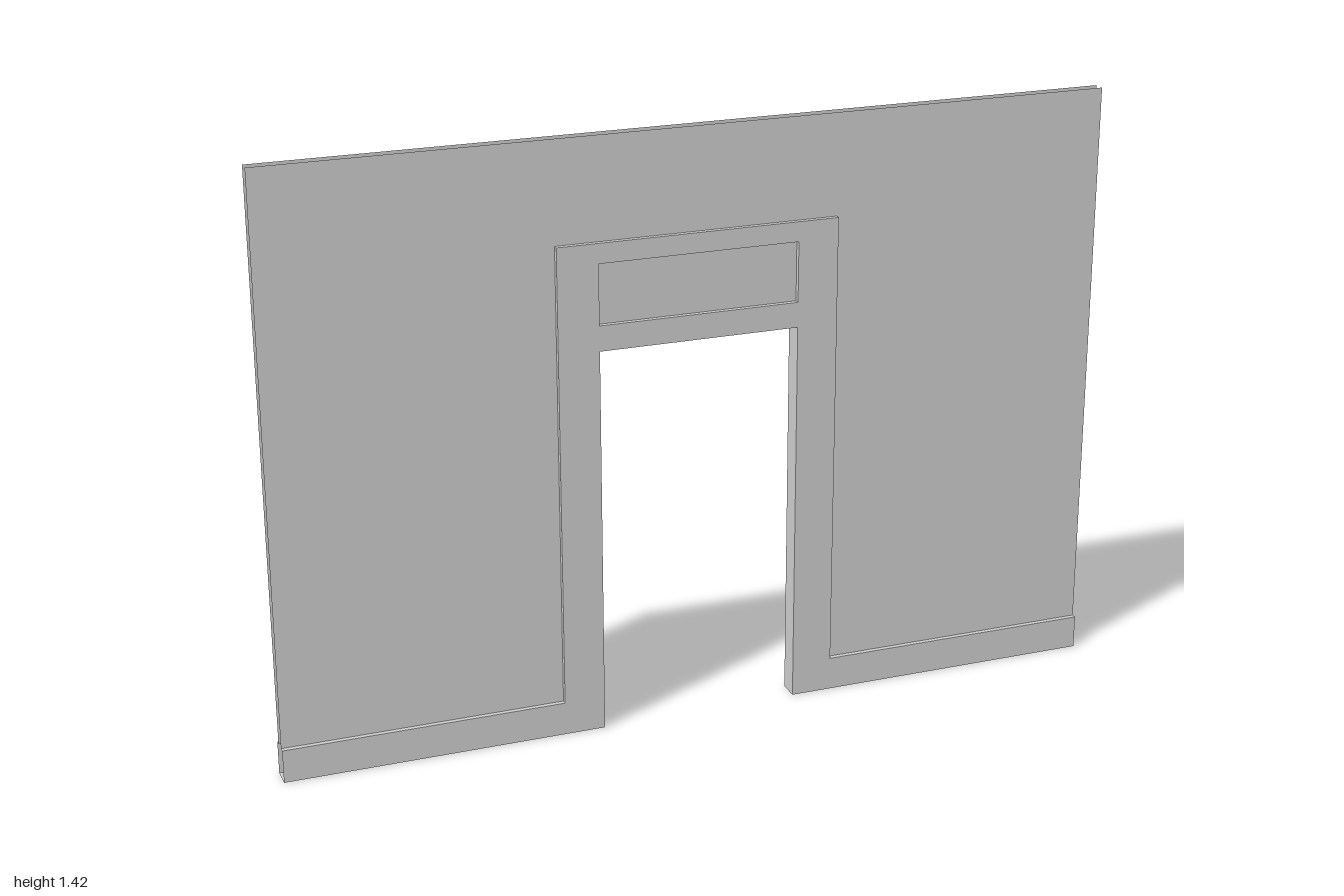
import * as THREE from 'three';

const W = 1, H = 1.42;             // half width and height of the wall
const DOOR = 0.238, HEAD = 0.93;   // doorway half width and height
const TRIM = 0.335, TOP = 1.18;    // door surround half width and height
const BASE = 0.08;                 // baseboard height
const ZW = 0.013, ZF = 0.025;      // wall and trim face depths
const PANEL = [[-DOOR, 0.99], [DOOR, 0.99], [DOOR, 1.133], [-DOOR, 1.133]];

const material = new THREE.MeshStandardMaterial({ color: 0xcccccc, side: THREE.DoubleSide });

const vectors = (points) => points.map(([x, y]) => new THREE.Vector2(x, y));

function add(parent, name, geometry) {
  const mesh = new THREE.Mesh(geometry, material);
  mesh.name = name;
  parent.add(mesh);
}

// Flat sheet facing +z
function sheet(points, z, hole) {
  const shape = new THREE.Shape(vectors(points));
  if (hole) shape.holes.push(new THREE.Path(vectors(hole)));
  return new THREE.ShapeGeometry(shape).translate(0, 0, z);
}

// Ribbon of flat faces following a path in xy, spanning z0 to z1
function ribbon(points, z0, z1) {
  const positions = [];
  for (let i = 0; i + 1 < points.length; i++) {
    const [ax, ay] = points[i], [bx, by] = points[i + 1];
    positions.push(ax, ay, z0, bx, by, z0, bx, by, z1, ax, ay, z0, bx, by, z1, ax, ay, z1);
  }
  const geometry = new THREE.BufferGeometry();
  geometry.setAttribute('position', new THREE.Float32BufferAttribute(positions, 3));
  geometry.computeVertexNormals();
  return geometry;
}

export function createModel() {
  const model = new THREE.Group();
  model.name = 'doorwayWall';

  // Lower edge of the trim, running around the doorway
  const lower = [[-W, 0], [-DOOR, 0], [-DOOR, HEAD], [DOOR, HEAD], [DOOR, 0], [W, 0]];
  // Upper edge of the trim, running along the baseboards and over the surround
  const upper = [[W, BASE], [TRIM, BASE], [TRIM, TOP], [-TRIM, TOP], [-TRIM, BASE], [-W, BASE]];

  // The two sides are identical, turned half a revolution
  for (const [name, angle] of [['frontSide', 0], ['backSide', Math.PI]]) {
    const side = new THREE.Group();
    side.name = name;
    side.rotation.y = angle;
    add(side, 'wallSheet', sheet([...upper].reverse().concat([[W, H], [-W, H]]), ZW));
    add(side, 'trimFace', sheet([...lower, ...upper], ZF, PANEL));
    add(side, 'trimEdge', ribbon(upper, ZW, ZF));
    add(side, 'transomPanel', sheet(PANEL, ZW));
    model.add(side);
  }

  // Door jambs, lintel underside and baseboard undersides
  add(model, 'doorLining', ribbon(lower, -ZF, ZF));
  // Sides of the transom recess, through the wall
  add(model, 'transomLining', ribbon([...PANEL, PANEL[0]].reverse(), -ZF, ZF));

  return model;
}
